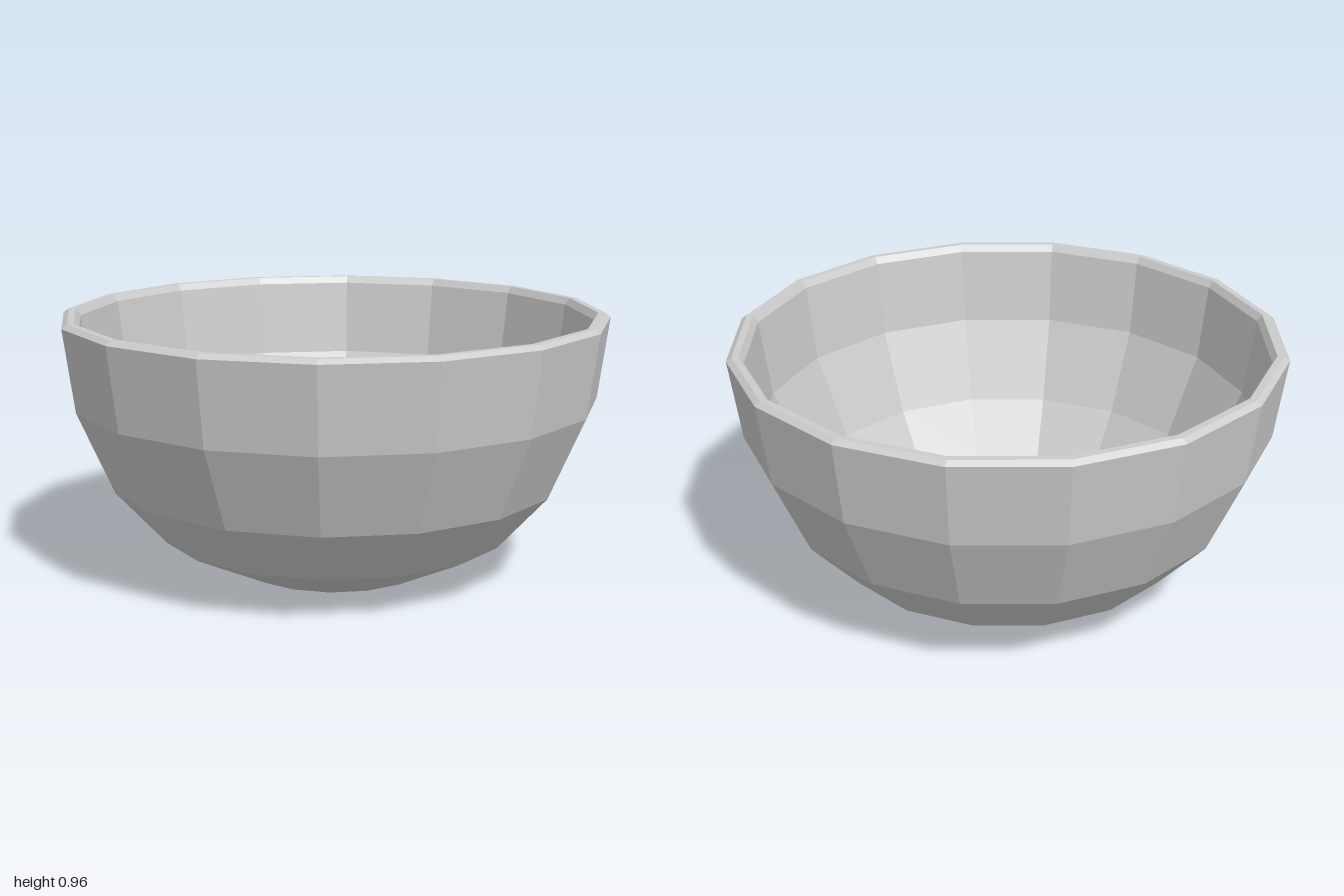
import * as THREE from 'three';

const SIDES = 16;

// Spin a list of [radius, height] points into a faceted surface
function spin(name, points, material) {
  const profile = points.map(([r, y]) => new THREE.Vector2(r, y));
  const mesh = new THREE.Mesh(new THREE.LatheGeometry(profile, SIDES), material);
  mesh.name = name;
  return mesh;
}

export function createModel() {
  const material = new THREE.MeshStandardMaterial({ color: 0xcccccc, flatShading: true });
  const bowl = new THREE.Group();
  bowl.name = 'bowl';

  // Flat base and curved outer wall, from the bottom up
  bowl.add(spin('outerWall', [
    [0, 0], [0.345, 0], [0.645, 0.145], [0.83, 0.35], [0.96, 0.65], [1, 0.95],
  ], material));

  // Bevelled lip, from the outside in
  bowl.add(spin('rim', [[1, 0.95], [0.98, 0.965], [0.955, 0.965], [0.938, 0.94]], material));

  // Inner wall down to the wide flat floor
  bowl.add(spin('innerWall', [
    [0.938, 0.94], [0.9, 0.655], [0.77, 0.35], [0.64, 0.15], [0, 0.15],
  ], material));

  return bowl;
}
